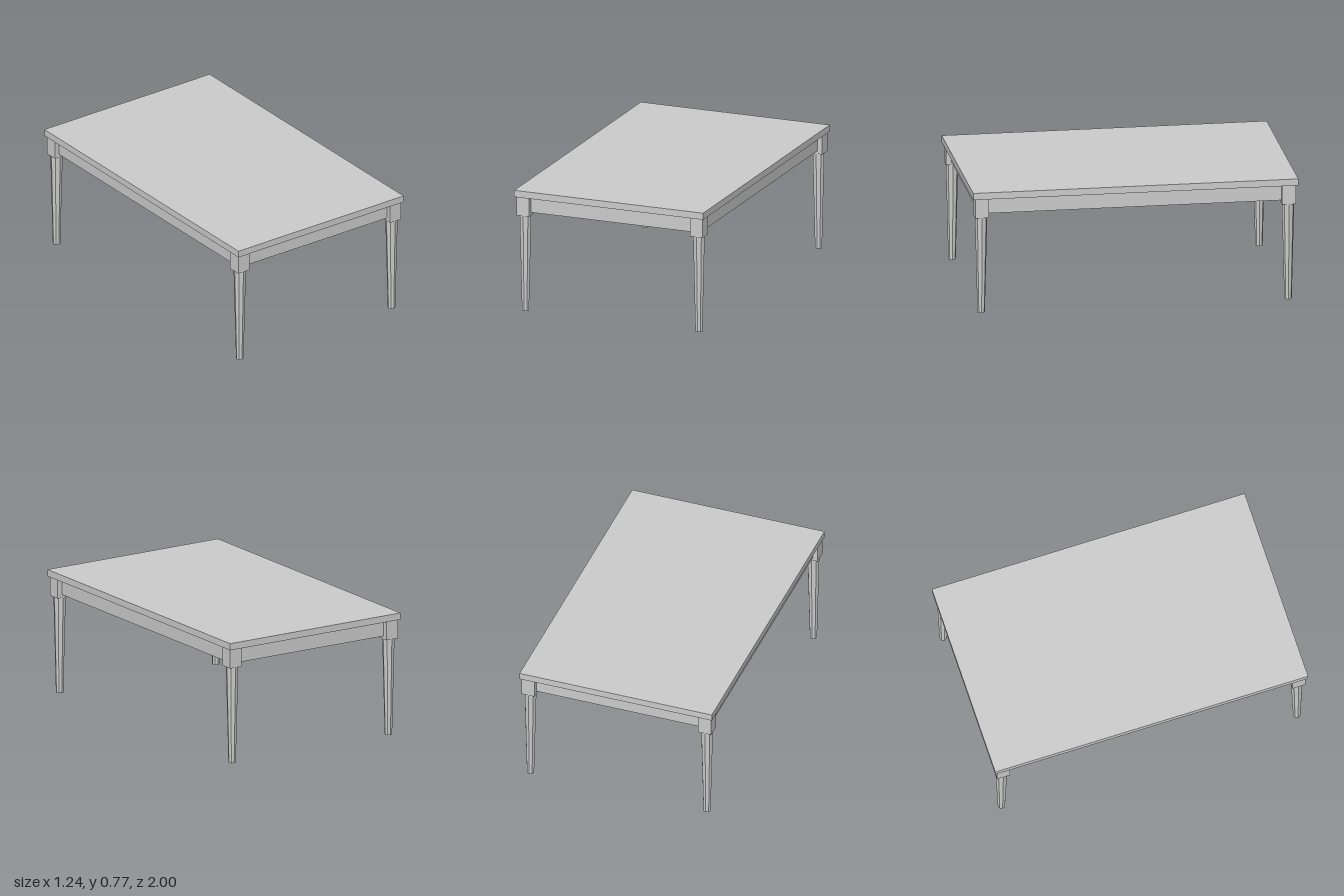
import * as THREE from 'three';

export function createModel() {
  const table = new THREE.Group();
  table.name = 'table';
  const material = new THREE.MeshStandardMaterial({ color: 0xcccccc, flatShading: true });

  function add(name, geometry, x, y, z) {
    const mesh = new THREE.Mesh(geometry, material);
    mesh.name = name;
    mesh.position.set(x, y, z);
    table.add(mesh);
  }
  // Box spanning y0 to y1
  function addBox(name, w, d, y0, y1, x = 0, z = 0) {
    add(name, new THREE.BoxGeometry(w, y1 - y0, d), x, (y0 + y1) / 2, z);
  }

  const topY = 0.77, underY = 0.728, apronY = 0.628, blockY = 0.608;
  const legX = 0.571, legZ = 0.944, block = 0.084;
  const apron = 0.055;

  addBox('tabletop', 1.244, 2, underY, topY);

  // Corner blocks with tapered octagonal legs
  for (const sx of [-1, 1]) {
    for (const sz of [-1, 1]) {
      const name = (sz > 0 ? 'front' : 'back') + (sx > 0 ? 'Left' : 'Right');
      addBox(name + 'Block', block, block, blockY, underY, sx * legX, sz * legZ);
      add(name + 'Leg', new THREE.CylinderGeometry(0.038, 0.023, blockY, 8),
        sx * legX, blockY / 2, sz * legZ);
    }
  }

  // Aprons, set back from the outer faces of the blocks
  const inset = 0.016;
  for (const s of [-1, 1]) {
    addBox(s > 0 ? 'leftApron' : 'rightApron', apron, 2 * (legZ - inset),
      apronY, underY, s * (legX - inset));
    addBox(s > 0 ? 'frontApron' : 'backApron', 2 * (legX - inset), apron,
      apronY, underY, 0, s * (legZ - inset));
  }
  return table;
}
